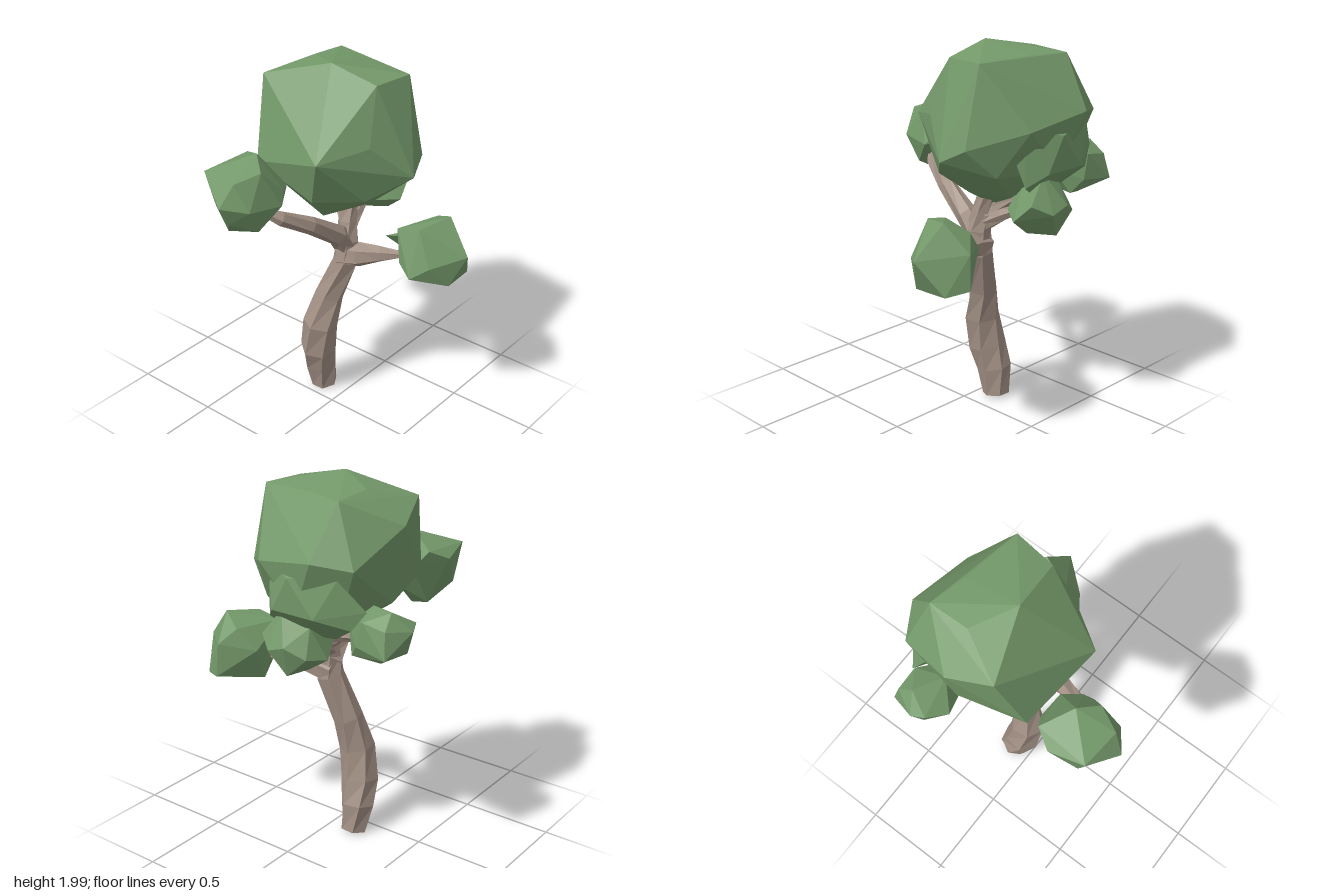
import * as THREE from 'three';
import { ConvexGeometry } from 'three/addons/geometries/ConvexGeometry.js';

const bark = new THREE.MeshStandardMaterial({ color: 0xa39185, flatShading: true });
const leaf = new THREE.MeshStandardMaterial({ color: 0x74996a, flatShading: true });

// Faceted limb: a six-sided cylinder bent along stations of [x, y, z, radius]
function limb(name, stations) {
  const n = stations.length - 1;
  const pts = stations.map(([x, y, z]) => new THREE.Vector3(x, y, z));
  const up = new THREE.Vector3(0, 1, 0);
  const turns = pts.map((_, i) => {
    const dir = pts[Math.min(i + 1, n)].clone().sub(pts[Math.max(i - 1, 0)]).normalize();
    return new THREE.Quaternion().setFromUnitVectors(up, dir);
  });
  const geo = new THREE.CylinderGeometry(1, 1, 1, 6, n);
  const pos = geo.attributes.position;
  const v = new THREE.Vector3();
  for (let k = 0; k < pos.count; k++) {
    v.fromBufferAttribute(pos, k);
    const i = Math.round((v.y + 0.5) * n);
    v.setY(0).multiplyScalar(stations[i][3]).applyAxisAngle(up, i * 0.2);
    v.applyQuaternion(turns[i]).add(pts[i]);
    pos.setXYZ(k, v.x, v.y, v.z);
  }
  geo.computeVertexNormals();
  const mesh = new THREE.Mesh(geo, bark);
  mesh.name = name;
  return mesh;
}

// Leaf clump: a faceted hull around a few corner points
function clump(name, corners) {
  const points = corners.map((p) => new THREE.Vector3(...p));
  const mesh = new THREE.Mesh(new ConvexGeometry(points), leaf);
  mesh.name = name;
  return mesh;
}

export function createModel() {
  const tree = new THREE.Group();
  tree.name = 'tree';

  // Trunk and branches
  tree.add(
    limb('trunk', [
      [0.107, 0.02, -0.145, 0.074], [0.085, 0.17, -0.152, 0.094], [0.045, 0.3, -0.138, 0.102],
      [0.03, 0.48, -0.11, 0.096], [0.07, 0.66, -0.078, 0.08], [0.115, 0.9, 0.005, 0.075],
      [0.115, 1.02, 0.01, 0.066], [0.13, 1.12, 0, 0.052], [0.16, 1.24, -0.01, 0.045],
    ]),
    limb('rightBranch', [
      [0.12, 0.98, 0, 0.068], [0.03, 1.08, 0.01, 0.058], [-0.15, 1.2, -0.02, 0.047],
      [-0.31, 1.285, -0.08, 0.038], [-0.38, 1.33, -0.13, 0.02],
    ]),
    limb('frontBranch', [
      [0.11, 0.93, -0.02, 0.08], [0.13, 0.945, 0.08, 0.07], [0.18, 0.965, 0.19, 0.045],
      [0.24, 0.975, 0.31, 0.015],
    ]),
    limb('leftBranch', [
      [0.12, 1.04, 0, 0.045], [0.25, 1.12, -0.03, 0.035], [0.42, 1.2, -0.07, 0.02],
    ]),
    limb('backBranch', [
      [0.14, 1.1, 0, 0.045], [0.22, 1.19, -0.14, 0.038], [0.3, 1.25, -0.31, 0.03],
      [0.33, 1.29, -0.42, 0.015],
    ]),
  );

  // Main canopy: crown, widest band, underside
  tree.add(clump('mainCanopy', [
    [0.08, 2, -0.07], [0.43, 1.945, -0.29], [0.21, 1.96, -0.29], [0.38, 1.95, -0.1],
    [-0.04, 1.9, -0.42], [0.1, 1.94, 0.2], [0.33, 1.94, 0.23],
    [-0.24, 1.6, 0.095], [0, 1.65, 0.24], [0.2, 1.46, 0.37], [0.33, 1.53, 0.325],
    [0.55, 1.62, 0.1], [0.6, 1.68, -0.25], [0.5, 1.65, -0.43], [0.19, 1.81, -0.5],
    [-0.17, 1.47, -0.36],
    [0.55, 1.4, -0.12], [0.45, 1.38, -0.32], [0.2, 1.42, -0.44],
    [-0.16, 1.34, 0], [0.02, 1.34, 0.2], [0.4, 1.38, 0.18], [0.16, 1.25, 0.12],
    [0.33, 1.23, 0], [0.16, 1.155, -0.05], [-0.01, 1.19, -0.05],
  ]));

  // Bulge on the left flank of the canopy
  tree.add(clump('canopyBulge', [
    [0.58, 1.4, 0], [0.58, 1.4, -0.25], [0.585, 1.58, -0.1], [0.5, 1.62, 0.08],
    [0.45, 1.5, 0.12], [0.5, 1.33, 0.08], [0.45, 1.25, -0.05], [0.4, 1.25, -0.25],
    [0.48, 1.35, -0.4], [0.45, 1.45, -0.47], [0.52, 1.6, -0.35], [0.3, 1.5, -0.2],
  ]));

  // Small clumps at the branch ends
  tree.add(
    clump('rightClump', [
      [-0.62, 1.42, -0.2], [-0.53, 1.54, -0.38], [-0.34, 1.62, -0.2], [-0.34, 1.5, -0.42],
      [-0.24, 1.55, -0.36], [-0.2, 1.46, -0.29], [-0.2, 1.42, -0.13], [-0.29, 1.44, -0.07],
      [-0.34, 1.38, -0.04], [-0.53, 1.4, -0.08], [-0.55, 1.54, -0.16], [-0.42, 1.57, -0.1],
      [-0.56, 1.31, -0.2], [-0.51, 1.24, -0.25], [-0.36, 1.21, -0.18], [-0.33, 1.24, -0.3],
      [-0.24, 1.33, -0.18], [-0.48, 1.33, -0.36], [-0.45, 1.26, -0.1],
    ]),
    clump('frontClump', [
      [0.09, 0.94, 0.44], [0.14, 0.98, 0.34], [0.31, 1.05, 0.65], [0.44, 0.88, 0.57],
      [0.5, 0.9, 0.46], [0.36, 1.22, 0.5], [0.17, 1.16, 0.3],
      [0.3, 0.87, 0.3], [0.25, 0.88, 0.58], [0.15, 1, 0.52], [0.49, 1.08, 0.45],
      [0.42, 1.16, 0.38], [0.38, 1.05, 0.28], [0.18, 1.19, 0.43], [0.3, 0.86, 0.45],
    ]),
    clump('frontClumpSpur', [
      [0.23, 1.05, 0.18], [0.17, 1.12, 0.32], [0.32, 1.1, 0.32], [0.27, 0.98, 0.31],
    ]),
    clump('leftClump', [
      [0.53, 1.39, -0.02], [0.62, 1.235, -0.1], [0.615, 1.2, 0], [0.57, 1.07, -0.08],
      [0.45, 1.155, 0.11], [0.55, 1.25, 0.09], [0.5, 1.32, -0.17], [0.45, 1.155, -0.24],
      [0.57, 1.18, -0.2], [0.42, 1.06, -0.1], [0.46, 1.08, 0.02], [0.31, 1.17, 0],
      [0.29, 1.15, -0.1], [0.28, 1.25, -0.16], [0.38, 1.34, -0.05],
    ]),
    clump('backClump', [
      [0.19, 1.33, -0.52], [0.26, 1.38, -0.62], [0.33, 1.36, -0.65], [0.49, 1.25, -0.6],
      [0.46, 1.38, -0.58], [0.465, 1.27, -0.415], [0.35, 1.34, -0.29], [0.3, 1.43, -0.4],
      [0.38, 1.45, -0.56], [0.3, 1.23, -0.6], [0.36, 1.17, -0.49], [0.25, 1.22, -0.37],
      [0.42, 1.2, -0.36], [0.46, 1.4, -0.45],
    ]),
  );
  return tree;
}
